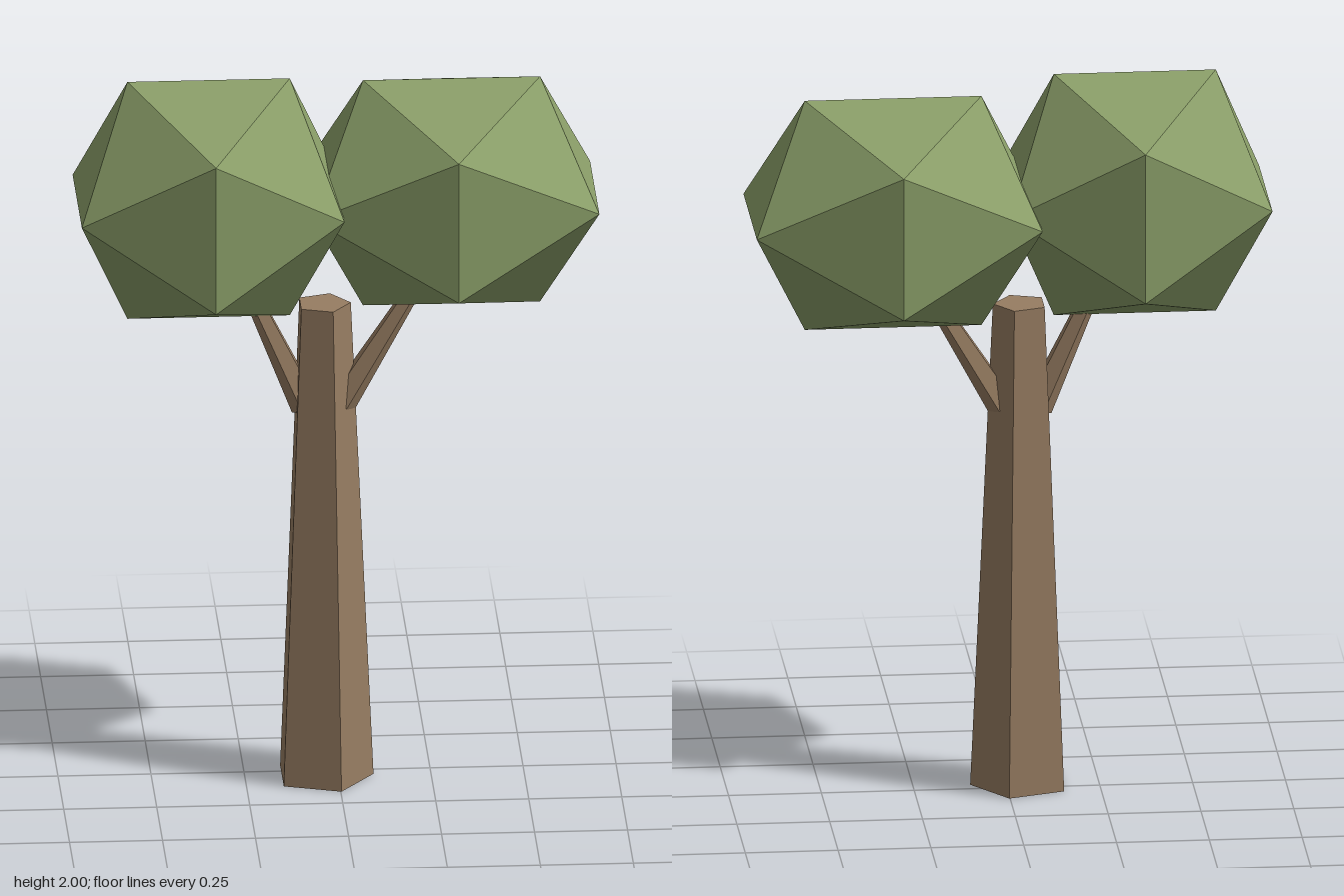
import * as THREE from 'three';

const bark = new THREE.MeshStandardMaterial({ name: 'bark brown', color: 0x977d62, flatShading: true });
const leaf = new THREE.MeshStandardMaterial({ name: 'leaf green', color: 0x8b9f69, flatShading: true });

// Centre line shared by the trunk and branches
const TRUNK_X = -0.04, TRUNK_Z = 0.035;

// Tapered five-sided limb with one corner pointing along +x
function limb(name, topRadius, bottomRadius, length) {
  const geometry = new THREE.CylinderGeometry(topRadius, bottomRadius, length, 5, 1, false, Math.PI / 10);
  geometry.translate(0, length / 2, 0);
  const mesh = new THREE.Mesh(geometry, bark);
  mesh.name = name;
  return mesh;
}

// Branch leaning away from the trunk; side is +1 for +x, -1 for -x
function branch(name, side, x, y, lean) {
  const mesh = limb(name, 0.02, 0.042, 0.42);
  const pivot = new THREE.Group();
  pivot.name = name + 'Pivot';
  mesh.rotation.z = -lean;
  pivot.add(mesh);
  pivot.position.set(x, y, TRUNK_Z);
  if (side < 0) pivot.rotation.y = Math.PI;
  return pivot;
}

// Faceted leaf ball, given its centre and its half extents
function foliage(name, centre, halfSize) {
  const geometry = new THREE.IcosahedronGeometry(1, 0);
  geometry.computeBoundingBox();
  const reach = geometry.boundingBox.max;
  geometry.scale(halfSize[0] / reach.x, halfSize[1] / reach.y, halfSize[2] / reach.z);
  const mesh = new THREE.Mesh(geometry, leaf);
  mesh.name = name;
  mesh.position.set(...centre);
  return mesh;
}

export function createModel() {
  const tree = new THREE.Group();
  tree.name = 'tree';

  // Trunk
  const trunk = limb('trunk', 0.075, 0.136, 1.355);
  trunk.position.set(TRUNK_X, 0, TRUNK_Z);
  tree.add(trunk);

  // Branches
  tree.add(
    branch('leftBranch', 1, 0.01, 1.07, 0.545),
    branch('rightBranch', -1, -0.085, 1.06, 0.425)
  );

  // Leaf crowns
  tree.add(
    foliage('leftFoliage', [0.31, 1.642, -0.035], [0.385, 0.323, 0.325]),
    foliage('rightFoliage', [-0.347, 1.66, 0.03], [0.353, 0.34, 0.325])
  );

  return tree;
}
